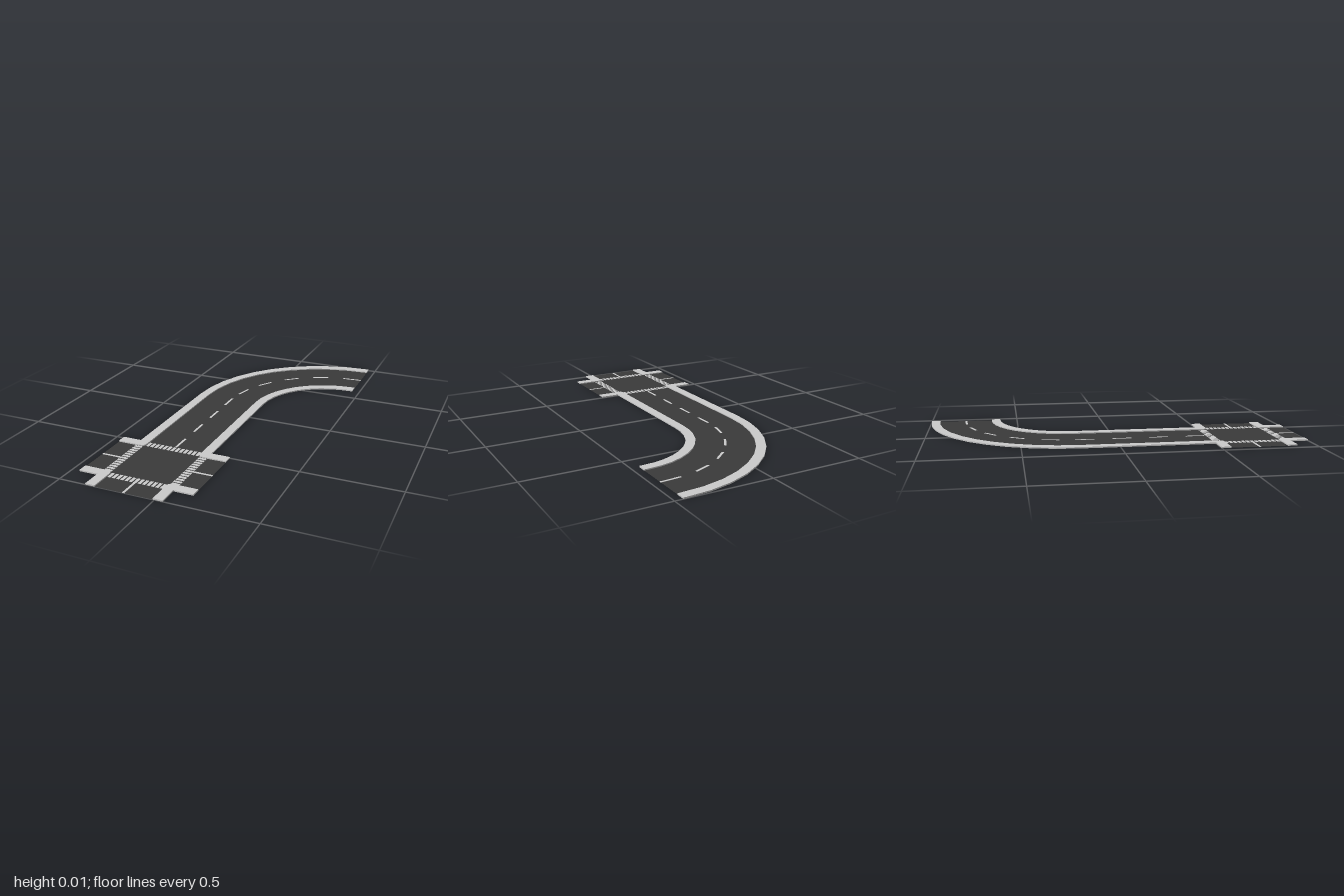
import * as THREE from 'three';

const CX = -0.158, CZ = 0.7;           // crossing centre
const BX = 0.442, BZ = -0.2;           // bend centre
const HALF = 0.3, LANE = 0.15, WALK = 0.2;
const KERB = 0.007, ROAD = 0.001, SEGMENTS = 10;

const grey = new THREE.MeshStandardMaterial({ color: 0xcccccc, flatShading: true });
const asphalt = new THREE.MeshStandardMaterial({ color: 0x3a3a3a, side: THREE.DoubleSide });

// Outline in plan, given as [x, z] pairs
const outline = (pts) => new THREE.Shape(pts.map(([x, z]) => new THREE.Vector2(x, -z)));

function add(group, name, geometry, material) {
  const mesh = new THREE.Mesh(geometry, material);
  mesh.name = name;
  group.add(mesh);
  return mesh;
}

function slab(group, name, pts) {
  const geo = new THREE.ExtrudeGeometry(outline(pts), { depth: KERB, bevelEnabled: false });
  add(group, name, geo.rotateX(-Math.PI / 2), grey);
}

function surface(group, name, pts) {
  const geo = new THREE.ShapeGeometry(outline(pts)).rotateX(-Math.PI / 2).translate(0, ROAD, 0);
  add(group, name, geo, asphalt);
}

// Painted mark, set through the road so it shows on both faces
function paint(group, name, x, z, sx, sz, turn = 0) {
  const mark = add(group, name, new THREE.BoxGeometry(sx, ROAD * 2, sz), grey);
  mark.position.set(x, ROAD, z);
  mark.rotation.y = turn;
}

const onBend = (r, i) => {
  const a = (i / SEGMENTS) * Math.PI / 2;
  return [BX - r * Math.cos(a), BZ - r * Math.sin(a)];
};

// Line running up the straight and round the bend at radius r
function lengthwise(r) {
  const pts = [[BX - r, CZ - HALF]];
  for (let i = 0; i <= SEGMENTS; i++) pts.push(onBend(r, i));
  pts.push([0.458, BZ - r]);
  return pts;
}
const strip = (r0, r1) => [...lengthwise(r0), ...lengthwise(r1).reverse()];

export function createModel() {
  const model = new THREE.Group();
  model.name = 'roadWithCrossing';

  // Straight and bend
  const street = new THREE.Group();
  street.name = 'street';
  surface(street, 'roadSurface', strip(0.45, 0.75));
  slab(street, 'innerSidewalk', strip(0.4, 0.45));
  slab(street, 'outerSidewalk', strip(0.75, 0.8));

  // Centre dashes
  for (let i = 0; i < 4; i++) paint(street, 'centreDash', CX, 0.44 - i * 0.2, 0.012, 0.103);
  for (let i = 1; i < SEGMENTS; i += 2) {
    const [x0, z0] = onBend(0.6, i), [x1, z1] = onBend(0.6, i + 1);
    paint(street, 'centreDash', (x0 + x1) / 2, (z0 + z1) / 2, 0.012,
      Math.hypot(x1 - x0, z1 - z0), Math.atan2(x1 - x0, z1 - z0));
  }
  paint(street, 'centreDash', 0.45, BZ - 0.6, 0.016, 0.012);

  // Crossing
  const crossing = new THREE.Group();
  crossing.name = 'crossing';
  crossing.position.set(CX, 0, CZ);
  const H = HALF, L = LANE, W = WALK;
  surface(crossing, 'roadSurface', [
    [-L, -H], [L, -H], [L, -L], [H, -L], [H, L], [L, L],
    [L, H], [-L, H], [-L, L], [-H, L], [-H, -L], [-L, -L],
  ]);

  // Corner sidewalks with a rounded kerb towards the crossing
  const R = 0.02;
  const kerb = [];
  for (let i = 0; i <= 4; i++) {
    const a = (i / 4) * Math.PI / 2;
    kerb.push([L + R - R * Math.sin(a), L + R - R * Math.cos(a)]);
  }
  const corner = [[H, L], ...kerb, [L, H], [W, H], [W, W], [H, W]];
  for (const sx of [-1, 1]) {
    for (const sz of [-1, 1]) {
      slab(crossing, 'cornerSidewalk', corner.map(([x, z]) => [x * sx, z * sz]));
      // Road surface filling the gap left by the rounding
      surface(crossing, 'cornerSurface', [[L, L], ...kerb].map(([x, z]) => [x * sx, z * sz]));
    }
  }

  // Zebra stripes on each arm
  const stripes = 13, pitch = (2 * L) / stripes;
  for (const s of [-1, 1]) {
    for (let i = 0; i < stripes; i++) {
      const t = -L + (i + 0.5) * pitch;
      paint(crossing, 'zebraStripe', t, s * 0.179, 0.016, 0.042);
      paint(crossing, 'zebraStripe', s * 0.179, t, 0.042, 0.016);
    }
    paint(crossing, 'stopArmLine', s * 0.25, 0, 0.1, 0.012);
  }
  paint(crossing, 'stopArmLine', 0, 0.25, 0.012, 0.1);

  model.add(street, crossing);
  return model;
}
